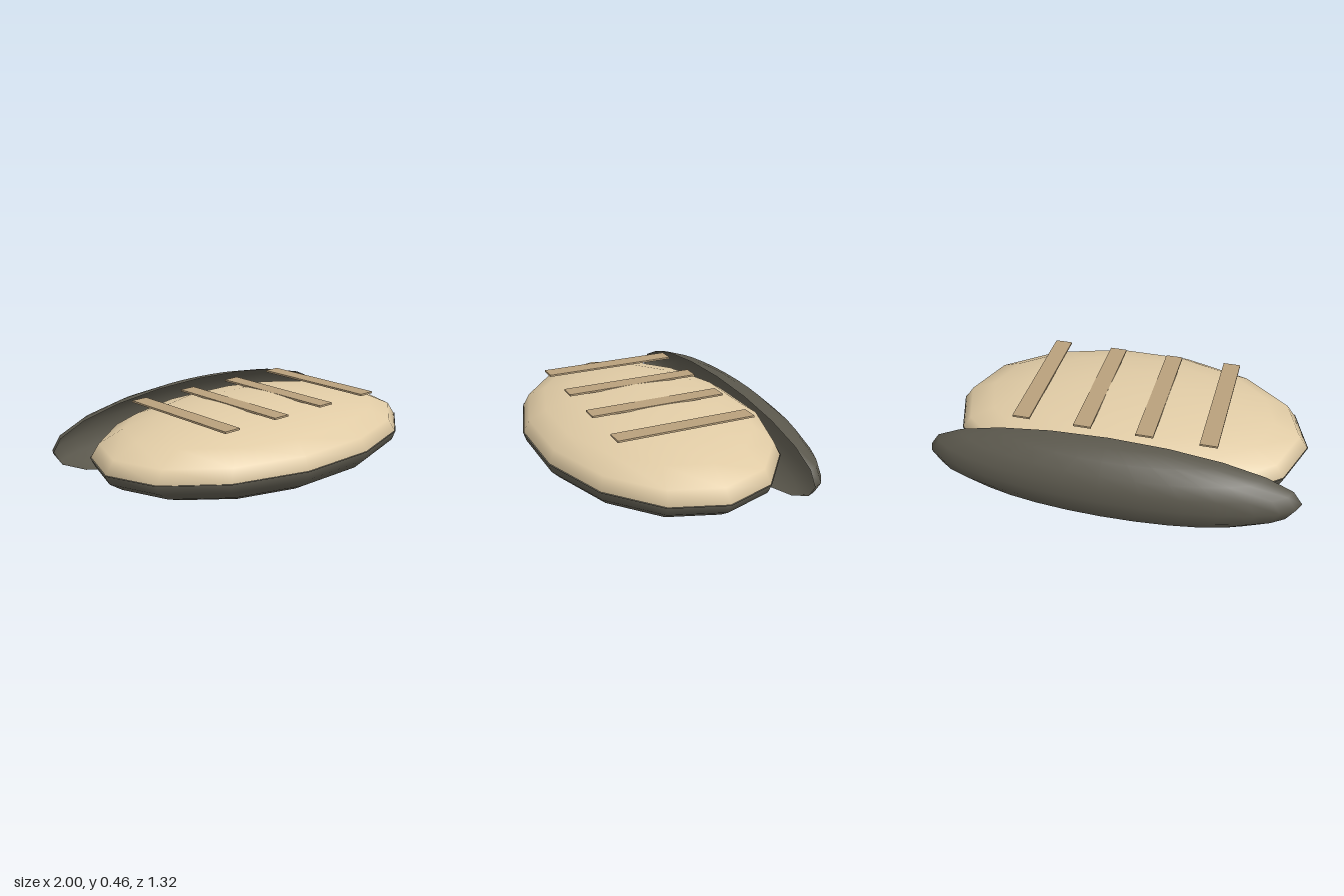
import * as THREE from 'three';

export function createModel() {
  const model = new THREE.Group();
  model.name = 'shellModel';

  const dark = new THREE.MeshStandardMaterial({ color: 0x5a574c, side: THREE.DoubleSide });
  const cream = new THREE.MeshStandardMaterial({ color: 0xe0cba5, side: THREE.DoubleSide });
  const tan = new THREE.MeshStandardMaterial({ color: 0xb8a07c });

  const add = (name, geometry, material, x, y, z) => {
    const mesh = new THREE.Mesh(geometry, material);
    mesh.name = name;
    mesh.position.set(x, y, z);
    model.add(mesh);
  };

  // Part of a sphere, stretched to three radii
  const dome = (rx, ry, rz, ...sphere) => new THREE.SphereGeometry(1, ...sphere).scale(rx, ry, rz);

  const seamY = 0.233;
  const bodyZ = 0.03;
  const half = Math.PI / 2;

  // Rounded body: dark lower half and pale upper half
  add('lowerBody', dome(0.99, 0.226, 0.648, 14, 7, 0, Math.PI * 2, half, half), dark, 0, seamY, bodyZ);
  add('upperBody', dome(0.985, 0.221, 0.643, 14, 5, 0, Math.PI * 2, 0, half), cream, 0, seamY, bodyZ);

  // Open half shell wrapped round the back
  add('rearShell', dome(1, 0.232, 0.236, 14, 10, Math.PI, Math.PI), dark, 0, seamY, -0.427);

  // Four flat slats across the top, two of them dipping into the dome
  for (const x of [-0.5, -0.166, 0.166, 0.5]) {
    add('slat', new THREE.BoxGeometry(0.094, 0.01, 0.76), tan, x, 0.445, bodyZ + 0.003);
  }

  return model;
}
